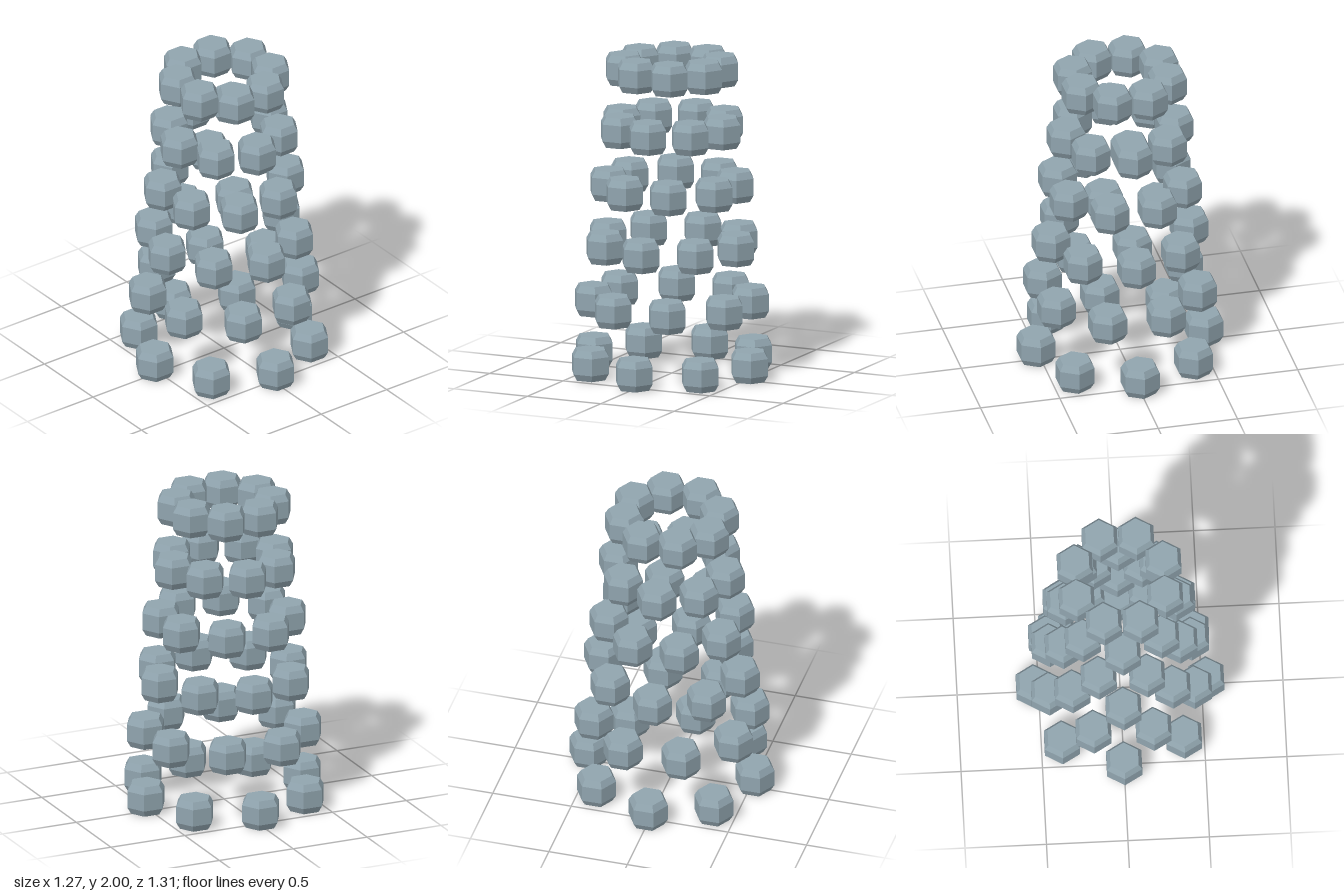
import * as THREE from 'three';

export function createModel() {
  const model = new THREE.Group();
  const material = new THREE.MeshStandardMaterial({ color: 0x90a4ae });
  material.name = 'blueGrey';

  // Faceted bead: hexagonal prism with bevelled top and bottom, corners facing +z and -z
  const profile = [[0, -0.095], [0.1, -0.095], [0.125, -0.053], [0.125, 0.053], [0.1, 0.095], [0, 0.095]]
    .map(([r, y]) => new THREE.Vector2(r, y));
  const bead = new THREE.LatheGeometry(profile, 6).toNonIndexed();
  bead.computeVertexNormals();

  // Six rings of eight beads, narrowing upwards; alternate rings are turned half a step
  for (let row = 0; row < 6; row++) {
    const ring = new THREE.Group();
    ring.name = `beadRing${row + 1}`;
    ring.position.y = 0.095 + row * 0.362;
    const radius = 0.529 - row * 0.047;
    for (let i = 0; i < 8; i++) {
      const angle = (i + (row % 2) / 2) * Math.PI / 4;
      const mesh = new THREE.Mesh(bead, material);
      mesh.name = `bead${i + 1}`;
      mesh.position.set(Math.cos(angle) * radius, 0, Math.sin(angle) * radius);
      ring.add(mesh);
    }
    model.add(ring);
  }
  return model;
}
